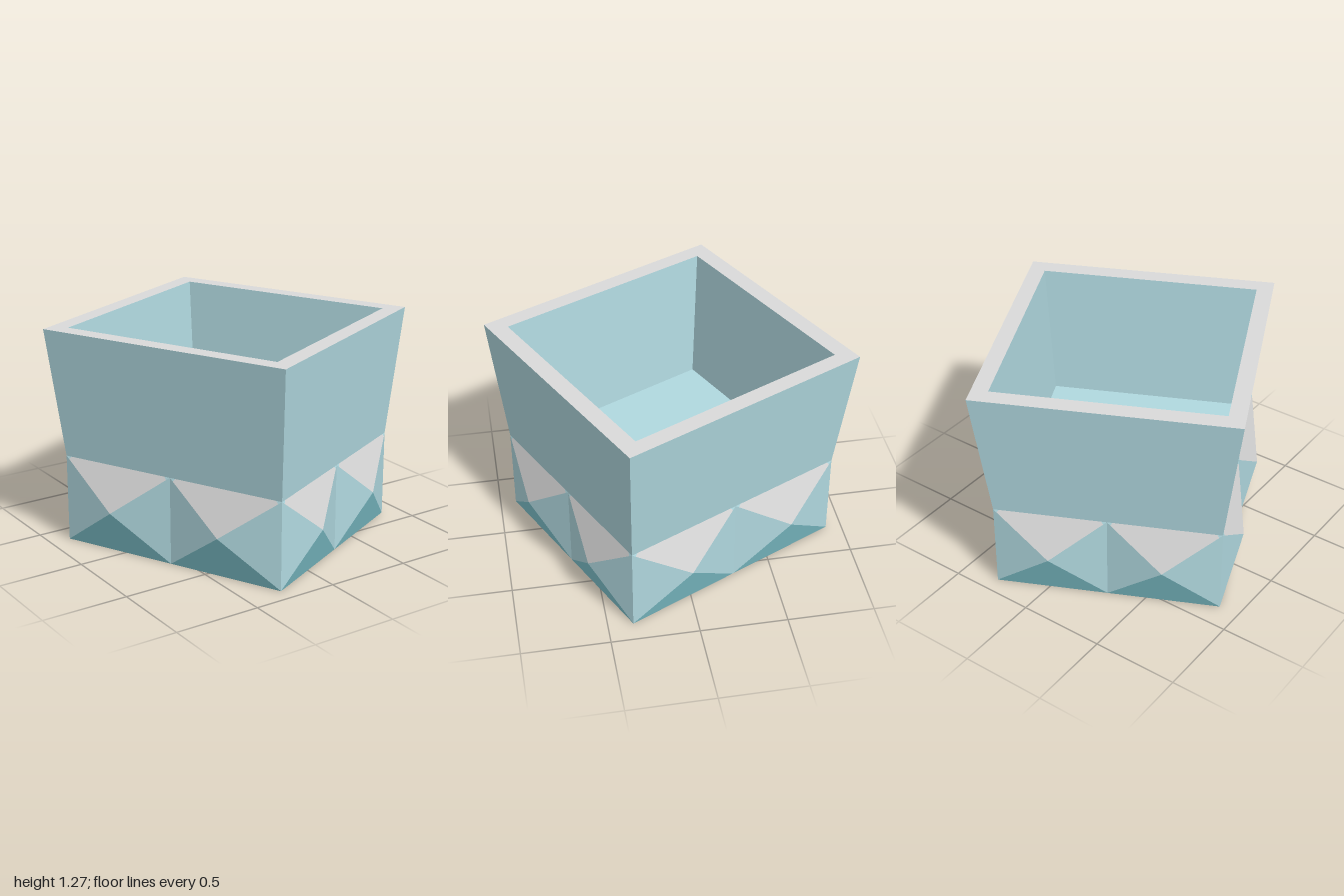
import * as THREE from 'three';

const paleBlue = new THREE.MeshStandardMaterial({ color: 0xb0d8df, name: 'paleBlue' });
const teal = new THREE.MeshStandardMaterial({ color: 0x82c8d2, name: 'teal' });
const lightGrey = new THREE.MeshStandardMaterial({ color: 0xdadada, name: 'lightGrey' });

const HEIGHT = 1.275, BAND = 0.515, FLOOR = 0.5, STUD = 0.083;
// half sizes [x, z] of each level
const BASE = [0.642, 0.7], TOP = [0.732, 0.76];
const INNER_TOP = [0.637, 0.66], INNER_FLOOR = [0.576, 0.59];

// mesh of flat convex polygons, corners counter-clockwise seen from outside
function facets(name, material, polygons) {
  const pos = [];
  for (const p of polygons)
    for (let i = 1; i < p.length - 1; i++) pos.push(...p[0], ...p[i], ...p[i + 1]);
  const geo = new THREE.BufferGeometry();
  geo.setAttribute('position', new THREE.Float32BufferAttribute(pos, 3));
  geo.computeVertexNormals();
  const mesh = new THREE.Mesh(geo, material);
  mesh.name = name;
  return mesh;
}

const mix = (a, b, t) => a.map((v, i) => v + (b[i] - v) * t);

// horizontal rectangle, facing up or down
function level([x, z], y, up = true) {
  const p = [[-x, y, z], [x, y, z], [x, y, -z], [-x, y, -z]];
  return up ? p : p.reverse();
}

export function createModel() {
  const model = new THREE.Group();
  model.name = 'planter';
  const walls = [], lining = [], rim = [], studSides = [], studBottoms = [], studTops = [];

  for (let k = 0; k < 4; k++) {
    const c = Math.round(Math.cos(k * Math.PI / 2)), s = Math.round(Math.sin(k * Math.PI / 2));
    const at = (u, y, d) => [c * u + s * d, y, -s * u + c * d];
    const w = k % 2, d = 1 - w; // which half size is the width, which the depth

    // flared outer wall, sloping lining and flat rim
    const o = [at(-TOP[w], HEIGHT, TOP[d]), at(TOP[w], HEIGHT, TOP[d])];
    const i = [at(-INNER_TOP[w], HEIGHT, INNER_TOP[d]), at(INNER_TOP[w], HEIGHT, INNER_TOP[d])];
    walls.push([at(-BASE[w], BAND, BASE[d]), at(BASE[w], BAND, BASE[d]), o[1], o[0]]);
    rim.push([o[0], o[1], i[1], i[0]]);
    lining.push([i[0], i[1], at(INNER_FLOOR[w], FLOOR, INNER_FLOOR[d]), at(-INNER_FLOOR[w], FLOOR, INNER_FLOOR[d])]);

    // two pyramid studs per side
    for (const left of [-BASE[w], 0]) {
      const right = left + BASE[w];
      const bl = at(left, 0, BASE[d]), br = at(right, 0, BASE[d]);
      const tl = at(left, BAND, BASE[d]), tr = at(right, BAND, BASE[d]);
      const tip = at((left + right) / 2, BAND / 2, BASE[d] + STUD);
      studBottoms.push([bl, br, tip]);
      // the upper facet has its outer corners trimmed in the side colour
      const l1 = mix(tl, tip, 0.06), l2 = mix(tl, tr, 0.05);
      const r1 = mix(tr, tip, 0.06), r2 = mix(tr, tl, 0.05);
      studTops.push([tip, r1, r2, l2, l1]);
      studSides.push([tl, bl, tip], [br, tr, tip], [tl, l1, l2], [tr, r2, r1]);
    }
  }

  model.add(
    facets('outerWalls', paleBlue, walls),
    facets('innerWalls', paleBlue, lining),
    facets('innerFloor', paleBlue, [level(INNER_FLOOR, FLOOR)]),
    facets('underside', paleBlue, [level(BASE, 0, false)]),
    facets('rim', lightGrey, rim),
    facets('studSides', paleBlue, studSides),
    facets('studBottoms', teal, studBottoms),
    facets('studTops', lightGrey, studTops),
  );
  model.rotation.y = THREE.MathUtils.degToRad(25.4);
  return model;
}
